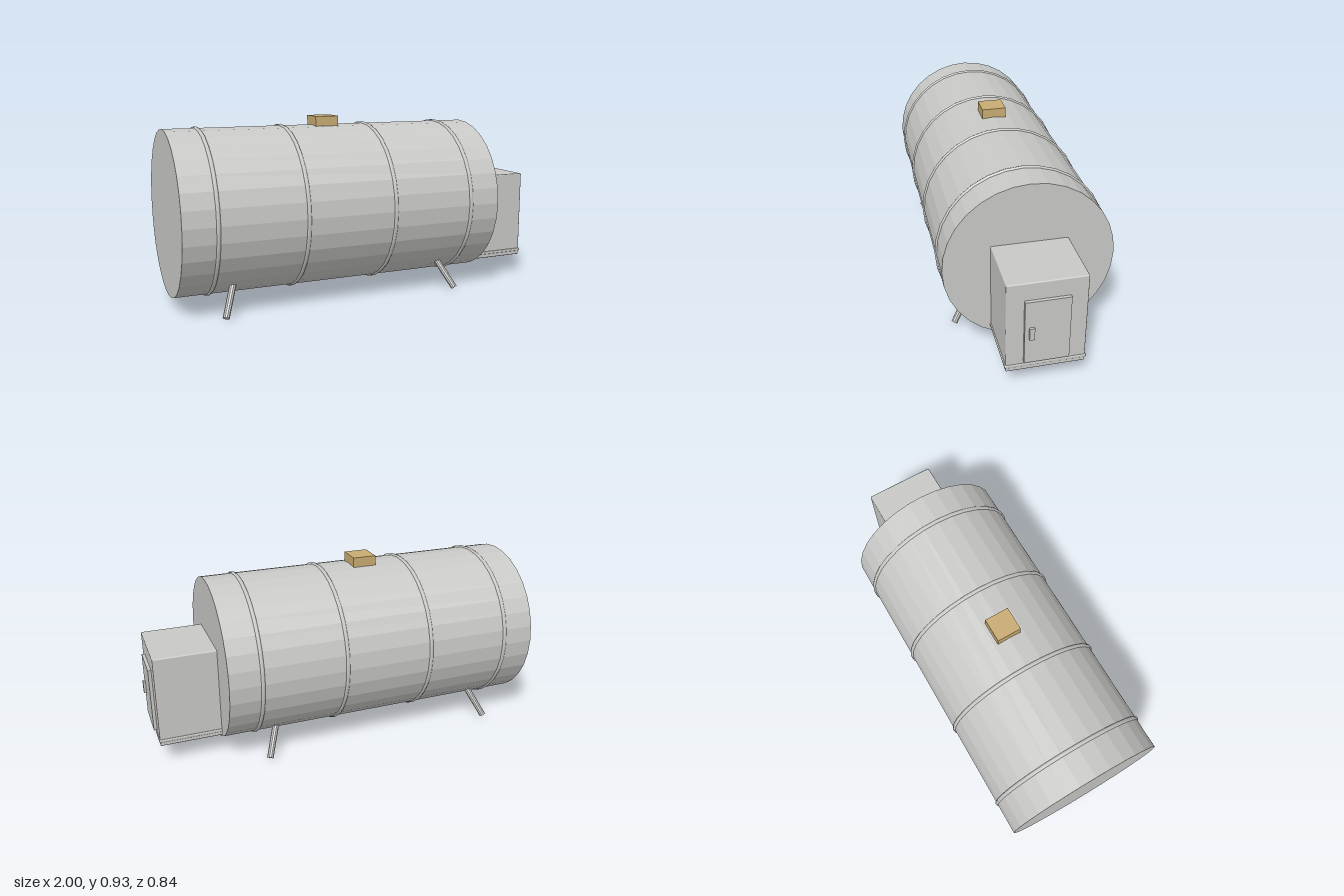
import * as THREE from 'three';
import { RoundedBoxGeometry } from 'three/addons/geometries/RoundedBoxGeometry.js';

export function createModel() {
  const steel = new THREE.MeshStandardMaterial({ color: 0xc8c8c6 });
  steel.name = 'steelGrey';
  const tan = new THREE.MeshStandardMaterial({ color: 0xc8ab72 });
  tan.name = 'tan';

  const model = new THREE.Group();
  model.name = 'tank';

  const add = (name, geometry, material, x, y, z) => {
    const mesh = new THREE.Mesh(geometry, material);
    mesh.name = name;
    mesh.position.set(x, y, z);
    model.add(mesh);
    return mesh;
  };
  // Facet a geometry so every flat side reads as its own plane
  const faceted = (geometry) => {
    const g = geometry.toNonIndexed();
    g.computeVertexNormals();
    return g;
  };

  const axisY = 0.47;
  const radius = 0.414;

  // Horizontal 32-sided drum
  const drum = add('drum', faceted(new THREE.CylinderGeometry(radius, radius, 1.66, 32)), steel, -0.17, axisY, 0);
  drum.rotation.z = Math.PI / 2;

  // Reinforcing hoops
  for (const x of [-0.835, -0.4, 0.06, 0.495]) {
    const hoop = add('hoop', new THREE.TorusGeometry(radius - 0.003, 0.011, 8, 32), steel, x, axisY, 0);
    hoop.rotation.y = Math.PI / 2;
  }

  // Splayed legs, sunk into the drum at the top
  const up = new THREE.Vector3(0, 1, 0);
  for (const [footX, sx] of [[-0.795, -1], [0.452, 1]]) {
    for (const sz of [-1, 1]) {
      const foot = new THREE.Vector3(footX, 0.012, sz * 0.333);
      const top = new THREE.Vector3(footX - sx * 0.065, 0.158, sz * 0.238);
      const dir = top.clone().sub(foot);
      const mid = foot.clone().add(top).multiplyScalar(0.5);
      const leg = add('leg', faceted(new THREE.CylinderGeometry(0.0165, 0.0165, dir.length(), 10)), steel, mid.x, mid.y, mid.z);
      leg.quaternion.setFromUnitVectors(up, dir.normalize());
    }
  }

  // Control cabinet on the end, with base trim, door and handle
  add('cabinet', new RoundedBoxGeometry(0.33, 0.473, 0.372, 2, 0.006), steel, 0.807, 0.3455, 0);
  add('cabinetTrim', new RoundedBoxGeometry(0.325, 0.016, 0.382, 2, 0.005), steel, 0.8135, 0.138, 0);
  add('door', new THREE.BoxGeometry(0.02, 0.332, 0.21), steel, 0.978, 0.326, 0);
  add('doorHandle', new THREE.BoxGeometry(0.016, 0.062, 0.024), steel, 0.992, 0.325, 0.073);

  // Hatch block on top
  add('topHatch', new THREE.BoxGeometry(0.123, 0.055, 0.125), tan, -0.17, 0.9015, 0);

  return model;
}
